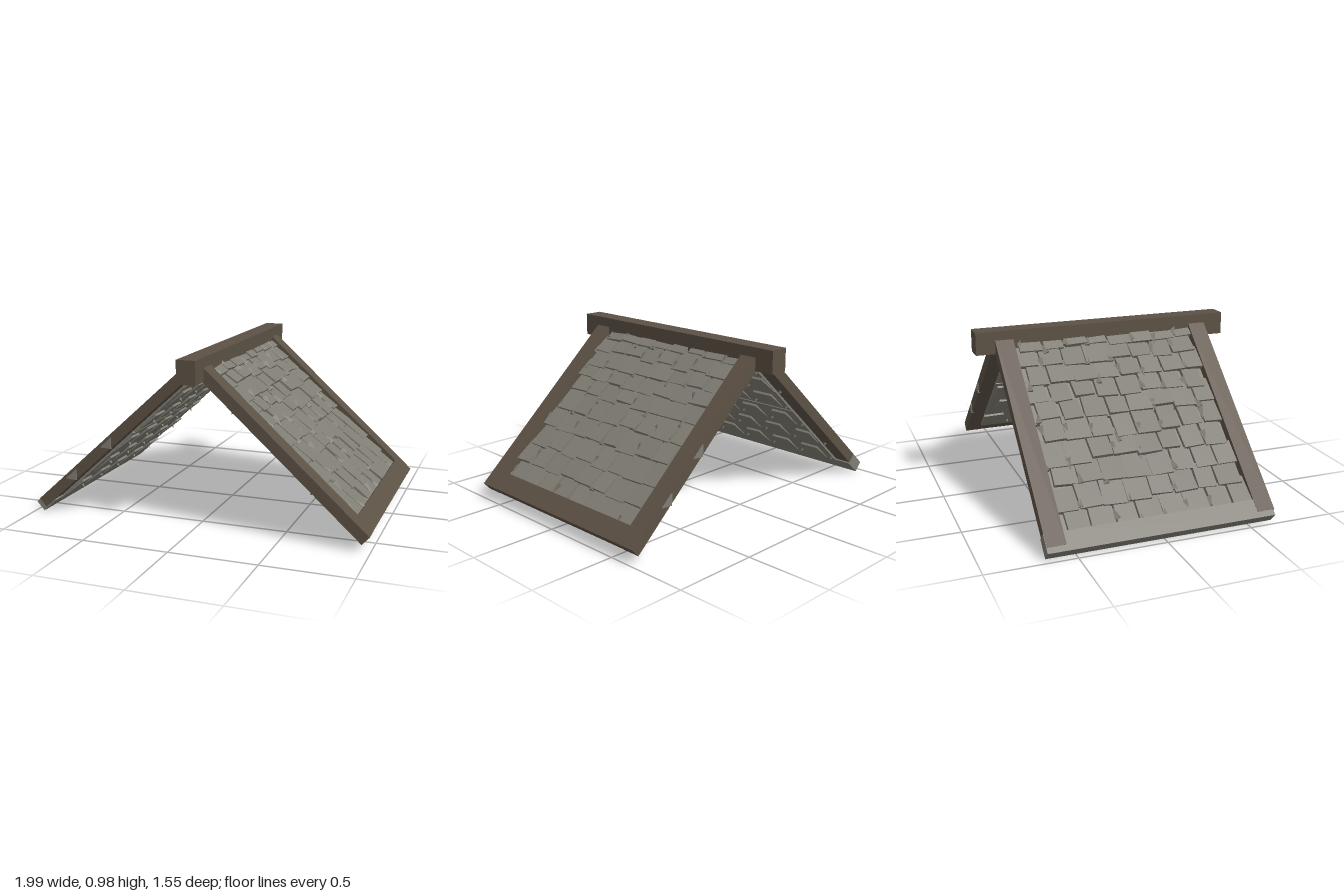
import * as THREE from 'three';
import { mergeGeometries } from 'three/addons/utils/BufferGeometryUtils.js';

const timber = new THREE.MeshStandardMaterial({ color: 0x5c5145, flatShading: true });
timber.name = 'timber brown';
const stone = new THREE.MeshStandardMaterial({ color: 0x7f7c73, flatShading: true });
stone.name = 'slate grey';

const PITCH = Math.atan(0.907); // slope of the roof
const THICK = 0.062; // rail thickness

function seeded(seed) {
  let s = seed;
  return () => {
    s = (s * 16807) % 2147483647;
    return s / 2147483647;
  };
}

// Box spanning the given ranges: u down the slope, v along its normal, z along the ridge
function span(u0, u1, v0, v1, z0, z1) {
  return new THREE.BoxGeometry(u1 - u0, v1 - v0, z1 - z0)
    .translate((u0 + u1) / 2, (v0 + v1) / 2, (z0 + z1) / 2);
}

function addMesh(parent, name, geometry, material) {
  const mesh = new THREE.Mesh(geometry, material);
  mesh.name = name;
  parent.add(mesh);
}

// One panel of overlapping rough slates between u0 and u1
function slatePanel(u0, u1, rnd) {
  const parts = [span(u0, u1, -0.075, -0.05, -0.565, 0.56)];
  const rows = 5, pitch = (u1 - u0) / rows, cols = 8, step = 1.1 / cols;
  for (let r = 0; r < rows; r++) {
    for (let c = 0; c < cols; c++) {
      const len = pitch * (1.05 + 0.3 * rnd());
      const width = step * (0.78 + 0.3 * rnd());
      const low = u0 + (r + 1) * pitch + (rnd() - 0.6) * 0.03;
      const z = -0.55 + (c + 0.5) * step + (r % 2 ? 0.018 : -0.018);

      // slate, with its lower edge lifted
      parts.push(new THREE.BoxGeometry(len, 0.024, width)
        .rotateZ(0.06 + rnd() * 0.08)
        .rotateX((rnd() - 0.5) * 0.1)
        .rotateY((rnd() - 0.5) * 0.09)
        .translate(low - len / 2, -0.036 + rnd() * 0.008, z));

      // splinter wedged in the joint
      if (rnd() < 0.6) {
        parts.push(new THREE.ConeGeometry(0.021, 0.075, 3)
          .rotateZ(rnd() < 0.5 ? -Math.PI / 2 : Math.PI / 2)
          .rotateY((rnd() - 0.5) * 0.5)
          .translate(low - pitch * rnd() * 0.5, -0.022, z + step / 2 - 0.01));
      }
    }
  }

  // slates and points breaking through the underside
  for (let r = 0; r < 3; r++) {
    for (let c = 0; c < 5; c++) {
      const u = u0 + (r + 0.5) * (u1 - u0) / 3;
      const z = -0.47 + c * 0.235 + (r % 2 ? 0.03 : -0.03);
      parts.push(new THREE.BoxGeometry(0.15, 0.018, 0.1 + 0.04 * rnd())
        .rotateZ(0.07)
        .rotateY((rnd() - 0.5) * 0.15)
        .translate(u, -0.074, z));
      parts.push(new THREE.ConeGeometry(0.012, 0.022, 3)
        .rotateX(Math.PI)
        .translate(u + 0.05, -0.084, z + 0.11));
    }
  }
  return mergeGeometries(parts.map((g) => g.toNonIndexed()));
}

// One side of the roof, its top edge at the local origin
function slope(name, length, split, stoneEave, seed) {
  const group = new THREE.Group();
  group.name = name;
  const rnd = seeded(seed);
  const railEnd = stoneEave ? length - 0.034 : length;

  addMesh(group, 'backRail', span(-0.02, railEnd, -THICK, 0, -0.655, -0.55), timber);
  addMesh(group, 'frontRail', span(-0.02, railEnd, -THICK, 0, 0.555, 0.662), timber);
  if (stoneEave) {
    addMesh(group, 'eaveBoard', span(length - 0.11, length, -0.071, -0.001, -0.648, 0.664), stone);
  } else {
    addMesh(group, 'eaveBoard', span(length - 0.115, length - 0.001, -THICK + 0.001, -0.001, -0.652, 0.66), timber);
  }

  addMesh(group, 'upperSlates', slatePanel(-0.04, split - 0.006, rnd), stone);
  addMesh(group, 'lowerSlates', slatePanel(split + 0.006, length - 0.09, rnd), stone);

  // flat chips showing through the outside of one rail
  for (const u of [split + 0.13, split + 0.44]) {
    const chip = new THREE.CylinderGeometry(0.055, 0.055, 0.016, 3)
      .rotateX(Math.PI / 2)
      .scale(1, 0.6, 1)
      .translate(u, -0.033, -0.653);
    addMesh(group, 'railChip', chip, stone);
  }
  return group;
}

export function createModel() {
  const model = new THREE.Group();
  model.name = 'gableRoof';

  const ridge = new THREE.BoxGeometry(0.11, 0.132, 1.55).translate(0.02, 0.915, 0);
  addMesh(model, 'ridgeBeam', ridge, timber);

  const left = slope('leftSlope', 1.243, 0.49, false, 71);
  left.position.set(0.075, 0.925, 0);
  left.rotation.z = -PITCH;
  model.add(left);

  // opposite side, turned half round
  const right = slope('rightSlope', 1.302, 0.547, true, 137);
  right.position.set(-0.035, 0.928, 0);
  right.rotation.set(0, Math.PI, -PITCH);
  model.add(right);

  return model;
}
